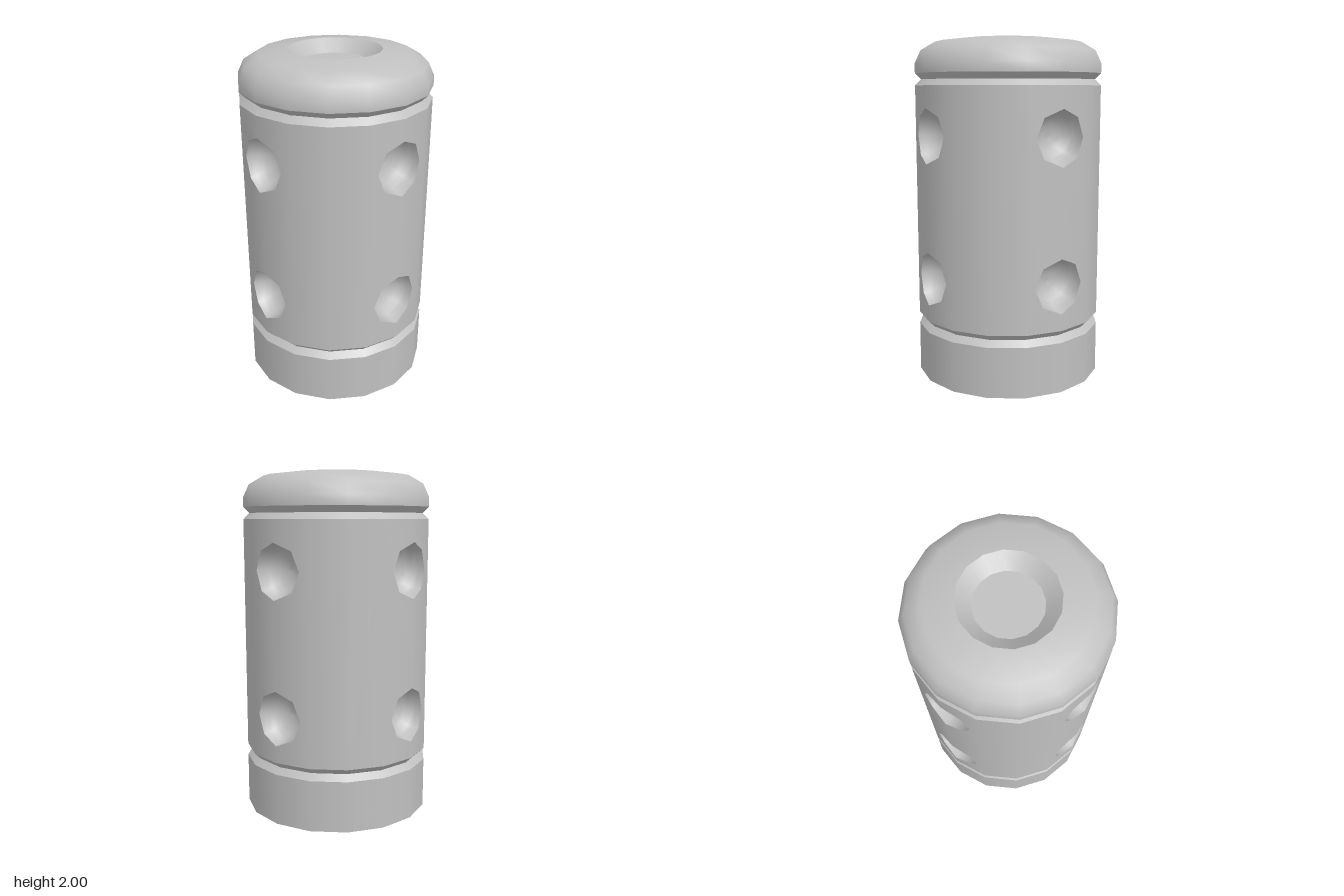
import * as THREE from 'three';
import { mergeGeometries } from 'three/addons/utils/BufferGeometryUtils.js';

const R = 0.55, SIDES = 16, STEP = (Math.PI * 2) / SIDES;
const WALL_BOTTOM = 0.365, WALL_TOP = 1.73;
const HOLE_R = 0.158, HOLE_DEPTH = 0.145, HOLE_Y = [0.622, 1.447];

export function createModel() {
  const group = new THREE.Group();
  const grey = new THREE.MeshStandardMaterial({ color: 0xc0c0c0 });

  const add = (name, geometry) => {
    const mesh = new THREE.Mesh(geometry, grey);
    mesh.name = name;
    group.add(mesh);
    return mesh;
  };
  const lathe = (points, sides = SIDES) =>
    new THREE.LatheGeometry(points.map(([r, y]) => new THREE.Vector2(r, y)), sides);
  // Each profile is smooth in itself, with a sharp edge where two meet
  const turned = (name, ...profiles) => add(name, mergeGeometries(profiles.map((p) => lathe(p))));

  // Plain foot and its underside
  turned('base', [[0, 0], [R, 0]], [[R, 0], [R, 0.295]]);

  // V-shaped grooves above the foot and below the cap
  for (const [name, y] of [['lowerGroove', 0.33], ['upperGroove', 1.765]]) {
    turned(name, [[R, y - 0.035], [0.515, y]], [[0.515, y], [R, y + 0.035]]);
  }

  // Rounded cap with a shallow dished top
  turned('cap', [[R, 1.8], [R, 1.855], [0.515, 1.93], [0.43, 1.98], [0.265, 2]]);
  turned('topRecess', [[0.265, 2], [0.185, 1.93]], [[0.185, 1.93], [0, 1.93]]);

  // Wall facets; those beside a hole have half-octagon notches cut from one edge
  const width = 2 * R * Math.sin(STEP / 2), apothem = R * Math.cos(STEP / 2);
  const facet = (index) => {
    const side = index % 4;
    const outline = [[0, WALL_BOTTOM], [width, WALL_BOTTOM], [width, WALL_TOP], [0, WALL_TOP]];
    if (side === 0 || side === 3) {
      for (const cy of [...HOLE_Y].reverse()) {
        for (let k = 0; k <= 4; k++) {
          const a = Math.PI / 2 - (k * Math.PI) / 4;
          outline.push([(HOLE_R * Math.cos(a)) / Math.cos(STEP / 2), cy + HOLE_R * Math.sin(a)]);
        }
      }
    }
    const shape = new THREE.Shape(
      outline.map(([x, y]) => new THREE.Vector2(side === 3 ? width - x : x, y)));
    const g = new THREE.ShapeGeometry(shape);
    g.translate(-width / 2, 0, apothem);
    g.rotateY((index + 0.5) * STEP);
    // Radial normals make the wall read as round
    const p = g.attributes.position, n = g.attributes.normal;
    for (let i = 0; i < p.count; i++) {
      const len = Math.hypot(p.getX(i), p.getZ(i));
      n.setXYZ(i, p.getX(i) / len, 0, p.getZ(i) / len);
    }
    return g;
  };
  add('wall', mergeGeometries(Array.from({ length: SIDES }, (_, i) => facet(i))));

  // Eight-sided rounded sockets, bent so their rims follow the wall
  const profile = [];
  for (let j = 0; j <= 6; j++) {
    const a = (j / 6) * (Math.PI / 2);
    profile.push([j === 6 ? 0 : HOLE_R * Math.cos(a), -HOLE_DEPTH * Math.sin(a)]);
  }
  const socket = lathe(profile, 8);
  socket.rotateX(Math.PI / 2);
  const pos = socket.attributes.position;
  for (let i = 0; i < pos.count; i++) {
    pos.setZ(i, pos.getZ(i) + R - Math.abs(pos.getX(i)) * Math.tan(STEP / 2));
  }
  for (let q = 0; q < 4; q++) {
    for (const y of HOLE_Y) {
      const mesh = add('socket', socket);
      mesh.position.y = y;
      mesh.rotation.y = (q * Math.PI) / 2;
    }
  }
  return group;
}
